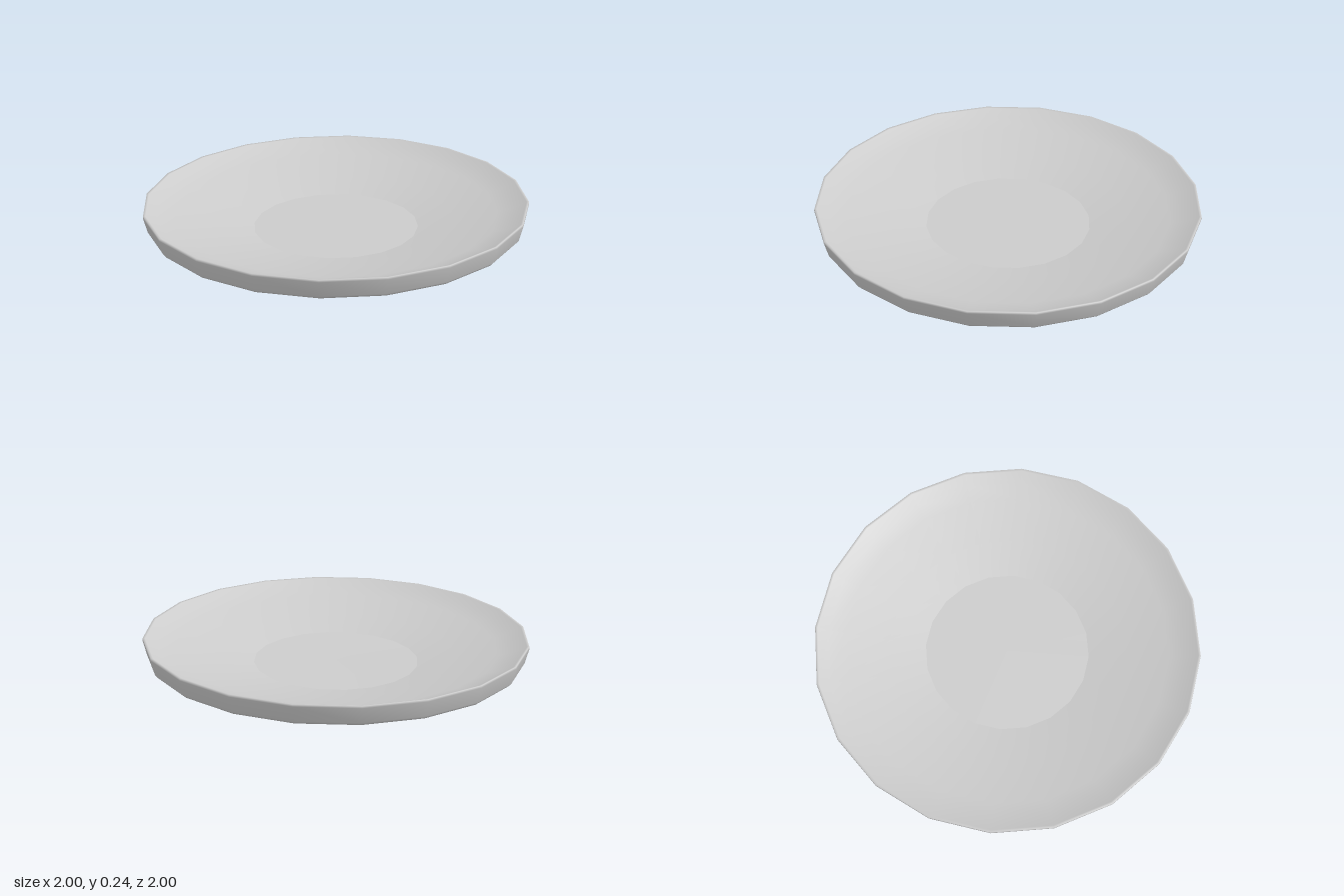
import * as THREE from 'three';

const SIDES = 20;
const TILT = -0.0105;

export function createModel() {
  const material = new THREE.MeshStandardMaterial({ color: 0xcccccc, side: THREE.DoubleSide });
  const plate = new THREE.Group();
  plate.name = 'plate';

  // Each part is a smooth ring turned from a profile of [radius, height].
  const addPart = (name, points) => {
    const profile = points.map(([r, y]) => new THREE.Vector2(r, y));
    const mesh = new THREE.Mesh(new THREE.LatheGeometry(profile, SIDES), material);
    mesh.name = name;
    plate.add(mesh);
    return mesh;
  };

  // Foot, set very slightly off centre
  const foot = [
    addPart('footBase', [[0, 0.006], [0.496, 0.006]]),
    addPart('footRing', [[0.496, 0.006], [0.501, 0.013], [0.501, 0.058]]),
  ];
  foot.forEach((part) => part.position.set(0.005, 0, 0.004));

  // Dish: sloping underside, upright rim, rounded lip and shallow well
  addPart('dish', [
    [0.49, 0.057], [0.94, 0.115], [0.966, 0.12], [0.979, 0.135], [0.999, 0.215],
    [0.997, 0.226], [0.985, 0.223], [0.93, 0.193], [0.84, 0.163], [0.62, 0.111], [0.43, 0.075],
  ]);

  // Flat middle of the well
  addPart('floor', [[0.43, 0.075], [0, 0.074]]);

  // Front sits slightly higher than the back
  plate.rotation.x = TILT;
  const model = new THREE.Group();
  model.name = 'tiltedPlate';
  model.add(plate);
  return model;
}
